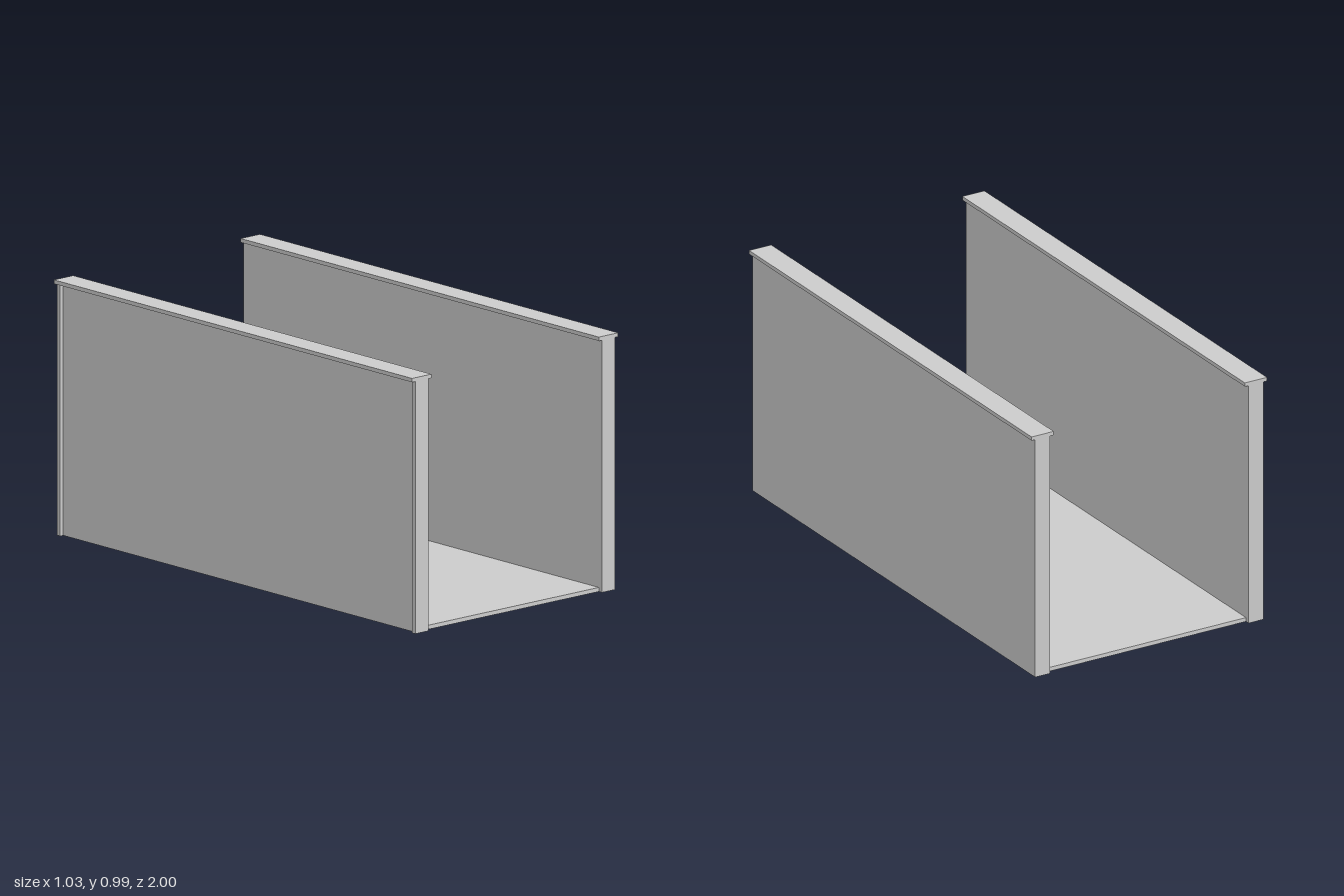
import * as THREE from 'three';

const material = new THREE.MeshStandardMaterial({ color: 0xcccccc, flatShading: true });

// Box given by its minimum and maximum on each axis
function box(name, [x0, x1], [y0, y1], [z0, z1]) {
  const geometry = new THREE.BoxGeometry(x1 - x0, y1 - y0, z1 - z0);
  const mesh = new THREE.Mesh(geometry, material);
  mesh.name = name;
  mesh.position.set((x0 + x1) / 2, (y0 + y1) / 2, (z0 + z1) / 2);
  return mesh;
}

export function createModel() {
  const model = new THREE.Group();
  model.name = 'channel';

  const inner = 0.435, outer = 0.5;
  const wallTop = 0.97, capTop = 0.985;
  const floorTop = 0.016, panelEnd = 0.982;

  // Thin floor between the walls, stopping short of the end posts
  model.add(box('floor', [-inner, inner], [0, floorTop], [-panelEnd, panelEnd]));

  for (const side of [-1, 1]) {
    const wall = new THREE.Group();
    wall.name = side > 0 ? 'leftWall' : 'rightWall';
    const span = (a, b) => (side > 0 ? [a, b] : [-b, -a]);

    // The right panel sits slightly behind the outer face of its posts
    const panelOuter = side > 0 ? outer : outer - 0.015;
    wall.add(box('panel', span(inner, panelOuter), [0, wallTop], [-panelEnd, panelEnd]));

    // Slim posts closing both ends
    wall.add(box('frontPost', span(inner, outer), [0, wallTop], [panelEnd, 1]));
    wall.add(box('backPost', span(inner, outer), [0, wallTop], [-1, -panelEnd]));

    // Overhanging cap along the top
    wall.add(box('cap', span(0.419, 0.516), [wallTop, capTop], [-1, 1]));
    model.add(wall);
  }

  return model;
}
